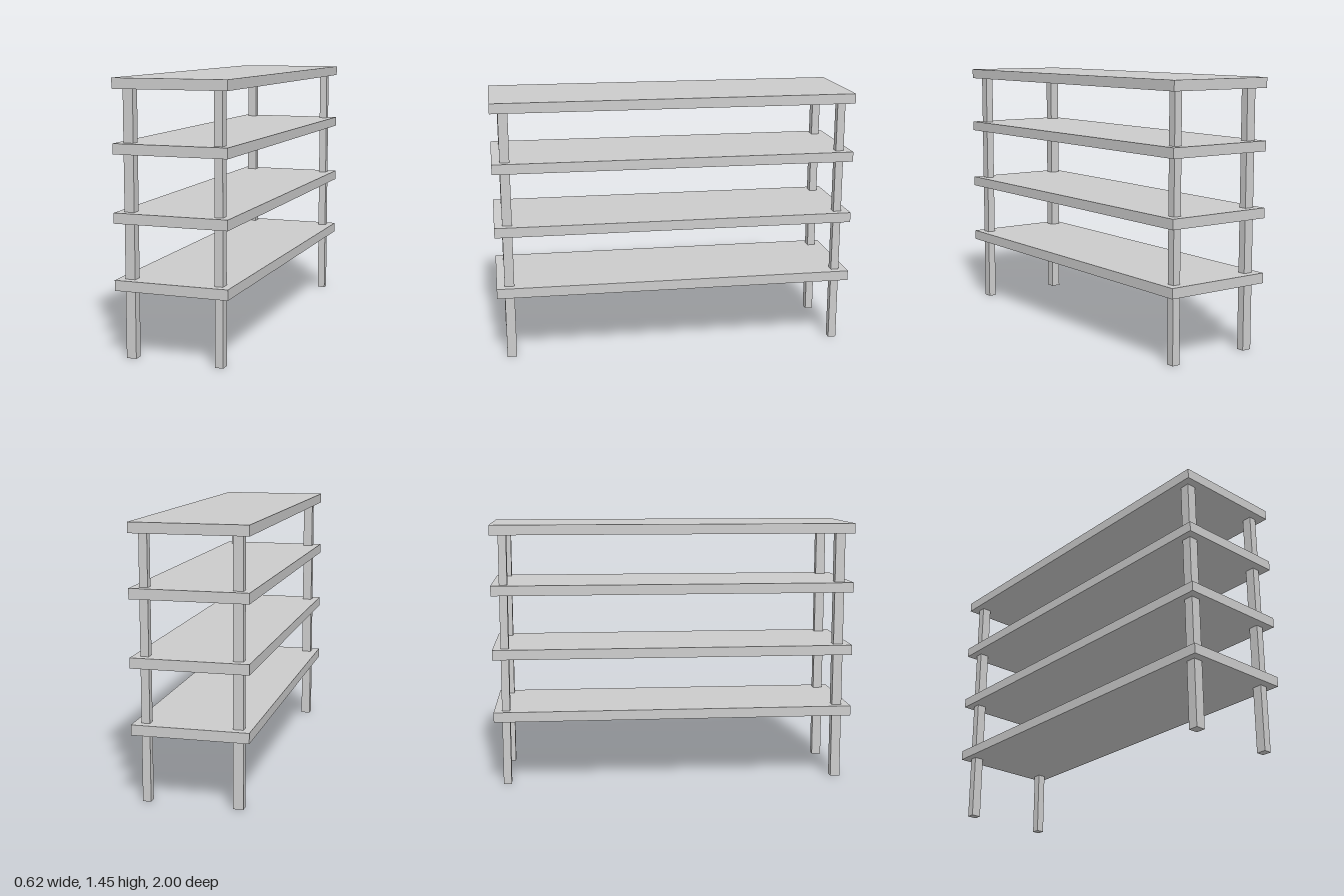
import * as THREE from 'three';

export function createModel() {
  const model = new THREE.Group();
  model.name = 'shelvingUnit';
  const material = new THREE.MeshStandardMaterial({ color: 0xcccccc, flatShading: true });

  // Box given by its extents along each axis
  function addBox(name, [x0, x1], [y0, y1], [z0, z1]) {
    const mesh = new THREE.Mesh(new THREE.BoxGeometry(x1 - x0, y1 - y0, z1 - z0), material);
    mesh.position.set((x0 + x1) / 2, (y0 + y1) / 2, (z0 + z1) / 2);
    mesh.name = name;
    model.add(mesh);
  }

  // Four boards, listed by the height of their underside
  const thickness = 0.055;
  const undersides = [0.363, 0.711, 1.063, 1.391];
  undersides.forEach((y, i) => {
    const name = i === undersides.length - 1 ? 'topBoard' : `shelf${i + 1}`;
    addBox(name, [-0.308, 0.308], [y, y + thickness], [-1, 1]);
  });

  // Four posts running through the shelves up to the top board;
  // the right and front ones are slightly thicker
  const sides = { Left: [0.222, 0.266], Right: [-0.268, -0.214] };
  const ends = { front: [0.903, 0.956], back: [-0.956, -0.912] };
  for (const [end, z] of Object.entries(ends)) {
    for (const [side, x] of Object.entries(sides)) {
      addBox(`${end}${side}Leg`, x, [0, undersides[3]], z);
    }
  }

  return model;
}
